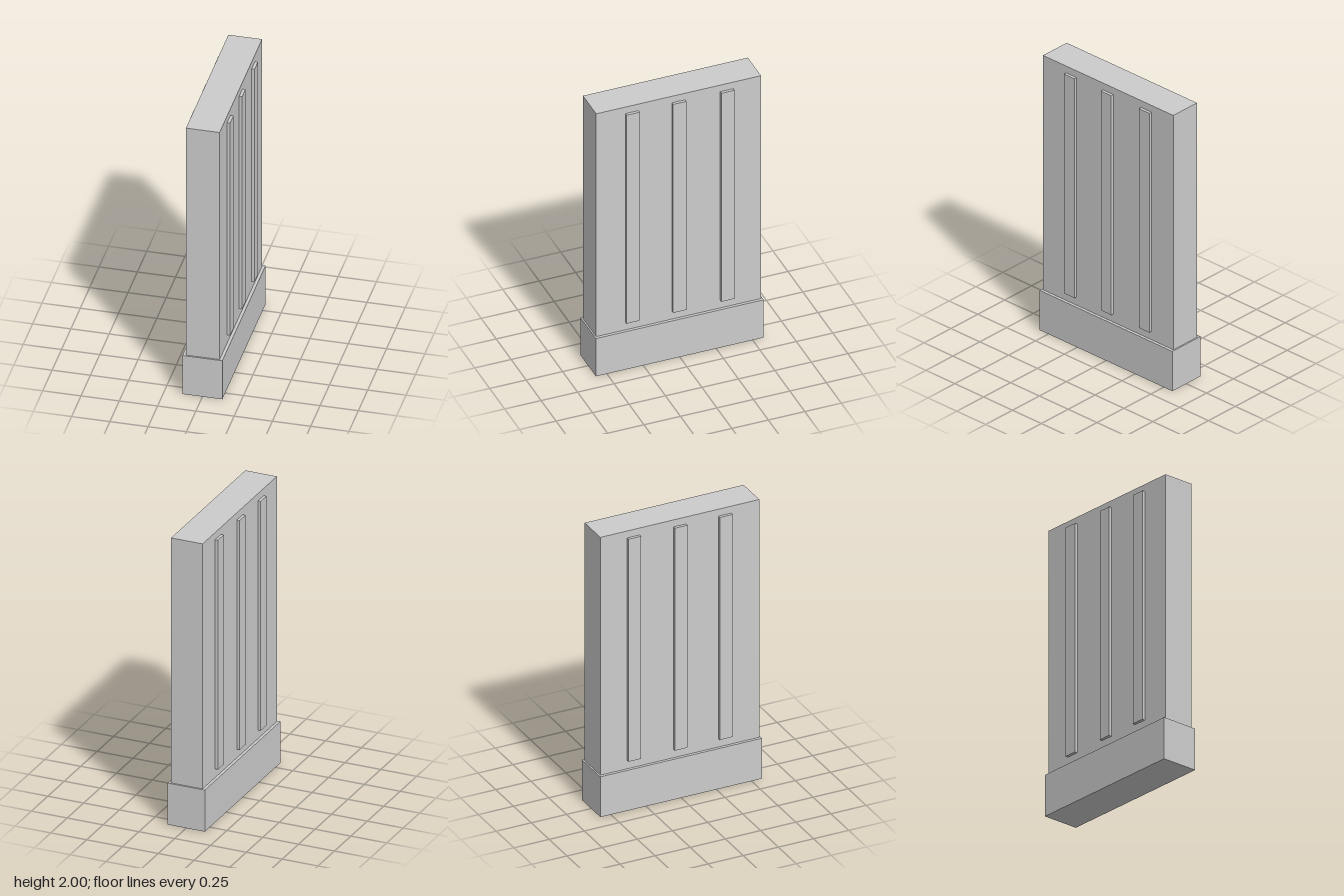
import * as THREE from 'three';

const material = new THREE.MeshStandardMaterial({ color: 0xcccccc, flatShading: true });

// Box standing on height y0, reaching up to y1
function block(name, width, y0, y1, depth, x = 0, z = 0) {
  const mesh = new THREE.Mesh(new THREE.BoxGeometry(width, y1 - y0, depth), material);
  mesh.name = name;
  mesh.position.set(x, (y0 + y1) / 2, z);
  return mesh;
}

export function createModel() {
  const model = new THREE.Group();
  model.name = 'ribbedWallPanel';

  // Plinth and the slightly narrower slab above it
  model.add(block('plinth', 0.26, 0, 0.29, 1.15));
  model.add(block('slab', 0.22, 0.29, 2, 1.13));

  // Three raised vertical ribs on each broad side, flush with the plinth
  const ribs = new THREE.Group();
  ribs.name = 'ribs';
  for (const side of [1, -1]) {
    for (const z of [-0.33, 0, 0.32]) {
      ribs.add(block(side > 0 ? 'leftRib' : 'rightRib', 0.02, 0.35, 1.95, 0.09, side * 0.12, z));
    }
  }
  model.add(ribs);

  return model;
}
